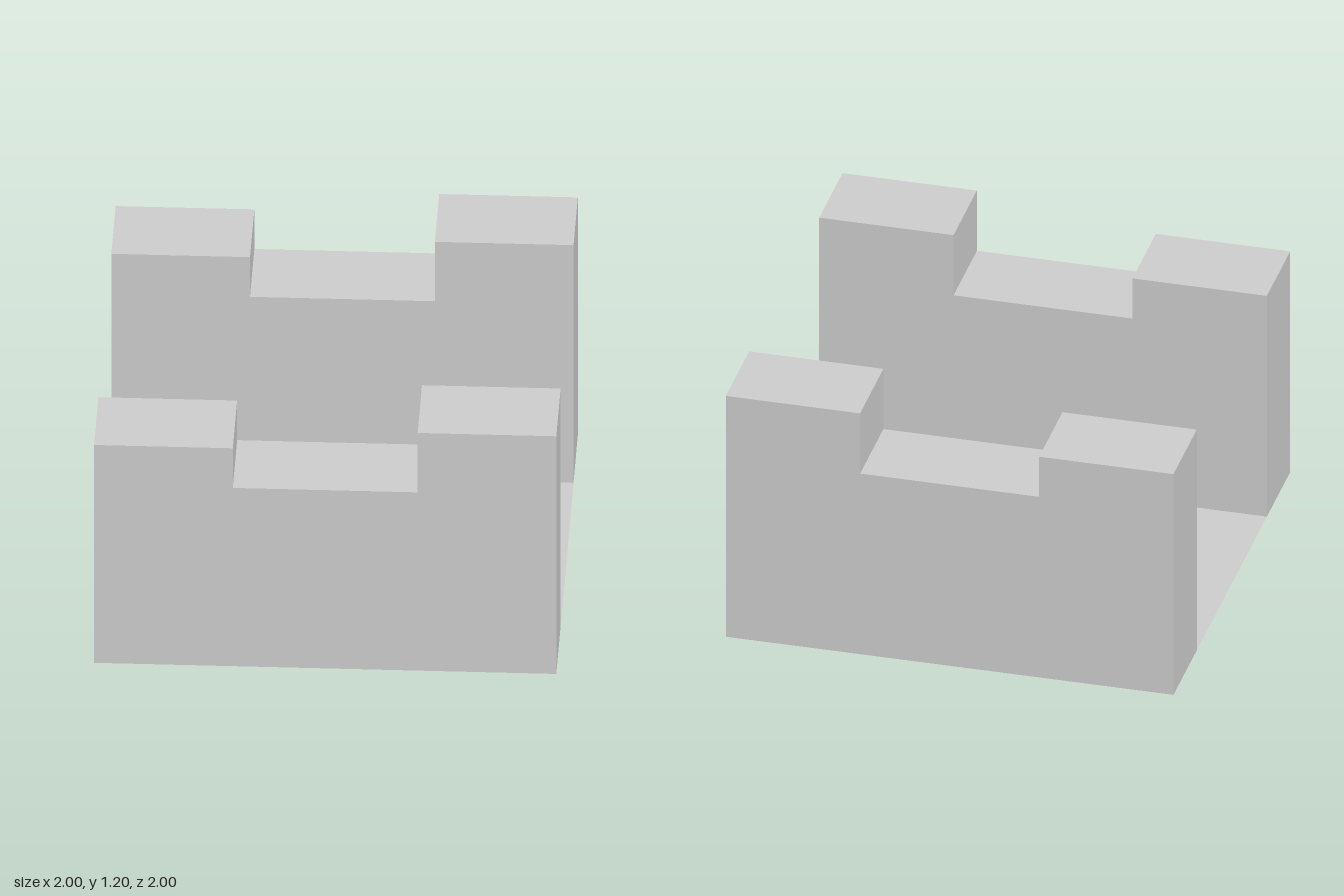
import * as THREE from 'three';

export function createModel() {
  const model = new THREE.Group();
  model.name = 'notchedWallChannel';
  const material = new THREE.MeshStandardMaterial({ color: 0xcccccc, flatShading: true });

  // Wall outline: low post, notch, tall post
  const outline = new THREE.Shape([
    [-1, 0], [1, 0], [1, 1.2], [0.4, 1.2], [0.4, 0.9], [-0.4, 0.9], [-0.4, 1.1], [-1, 1.1],
  ].map(([x, y]) => new THREE.Vector2(x, y)));
  const wallGeometry = new THREE.ExtrudeGeometry(outline, { depth: 0.4, bevelEnabled: false });

  // Two parallel walls
  for (const [name, z] of [['frontWall', 0.6], ['backWall', -1]]) {
    const wall = new THREE.Mesh(wallGeometry, material);
    wall.name = name;
    wall.position.z = z;
    model.add(wall);
  }

  // Paper-thin floor between the walls
  const floorMaterial = material.clone();
  floorMaterial.side = THREE.DoubleSide;
  const floor = new THREE.Mesh(new THREE.PlaneGeometry(2, 1.2).rotateX(-Math.PI / 2), floorMaterial);
  floor.name = 'floor';
  model.add(floor);

  return model;
}
